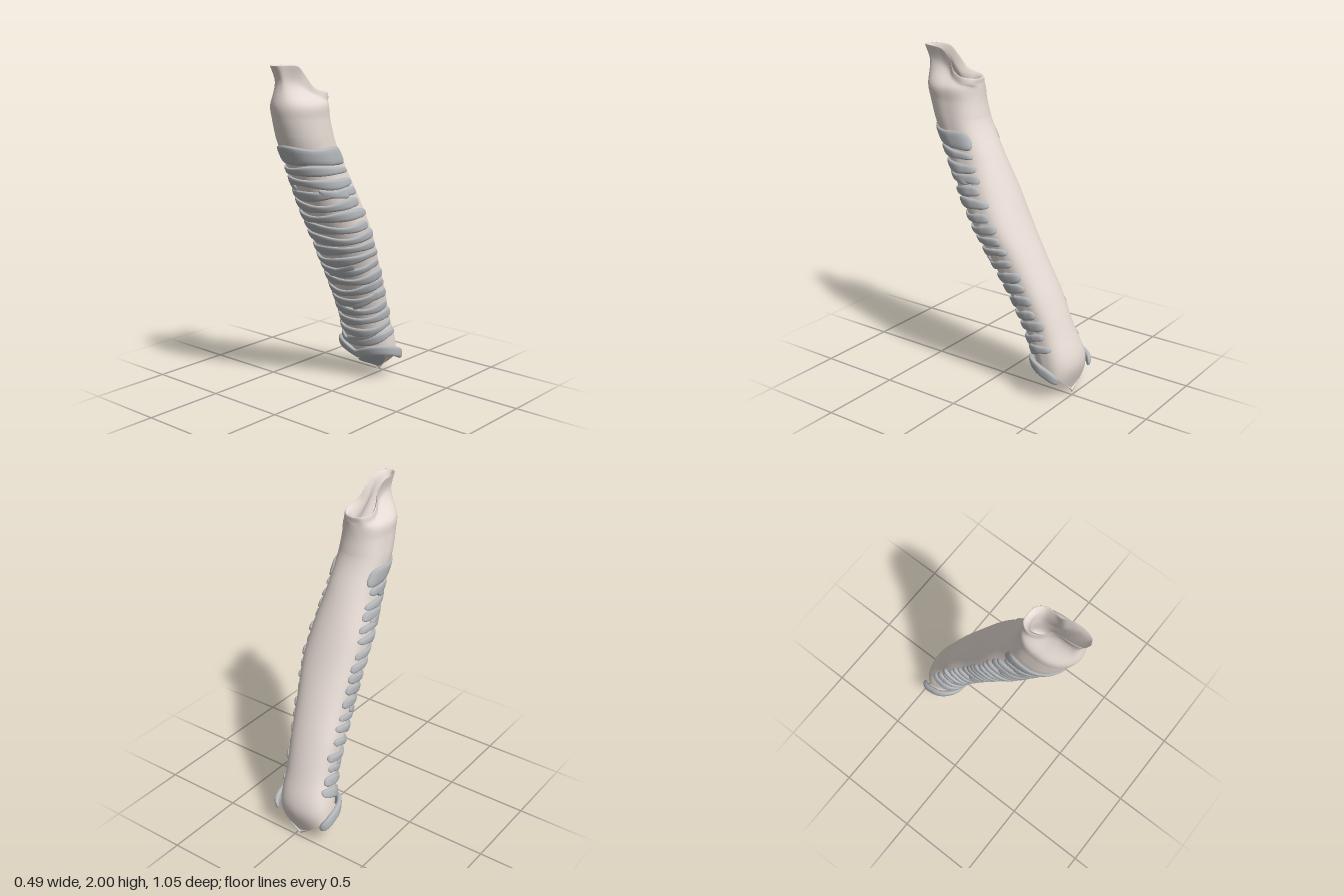
import * as THREE from 'three';
import { mergeVertices } from 'three/addons/utils/BufferGeometryUtils.js';

const { sin, cos, abs, PI, sqrt, sign } = Math;
const V = (x, y, z) => new THREE.Vector3(x, y, z);

// Tube outline at heights 0, 0.2 ... 1.8: front z, back z / right x, left x
const depth = new THREE.SplineCurve([[-.34, -.475], [-.265, -.525], [-.185, -.46], [-.09, -.38], [.03, -.285],
  [.14, -.185], [.25, -.09], [.35, .01], [.445, .11], [.502, .14]].map(p => new THREE.Vector2(...p)));
const width = new THREE.SplineCurve([[-.2, .13], [-.195, .14], [-.155, .14], [-.15, .165], [-.135, .195],
  [-.135, .228], [-.13, .218], [-.108, .19], [-.112, .18], [-.092, .165]].map(p => new THREE.Vector2(...p)));

// Front-to-back factor around the tube: angle 0 is the front, the back is a little flattened
const frontBack = a => cos(a) < 0 ? -Math.pow(-cos(a), 0.65) : cos(a);

// Point on the tube wall
function wall(a, y, off = 0) {
  const t = THREE.MathUtils.clamp(y / 1.8, 0, 1);
  const d = depth.getPoint(t), w = width.getPoint(t);
  return V((w.x + w.y) / 2 + ((w.y - w.x) / 2 + off) * sin(a), y,
    (d.x + d.y) / 2 + ((d.x - d.y) / 2 + off) * frontBack(a));
}

// V-cut lower end: ridge height and edge height around the tube
const ridgeHeight = a => 0.008 + 0.065 * (1 + frontBack(a));
const lowerEdge = a => ridgeHeight(a) + 0.125 * abs(sin(a));

// Surface from f(u, v), both 0..1
function surface(f, nu, nv) {
  const pos = [], index = [];
  for (let j = 0; j <= nv; j++) for (let i = 0; i <= nu; i++) pos.push(...f(i / nu, j / nv).toArray());
  for (let j = 0; j < nv; j++) for (let i = 0; i < nu; i++) {
    const a = j * (nu + 1) + i, b = a + nu + 1;
    index.push(a, a + 1, b + 1, a, b + 1, b);
  }
  let g = new THREE.BufferGeometry();
  g.setAttribute('position', new THREE.Float32BufferAttribute(pos, 3));
  g.setIndex(index);
  g = mergeVertices(g, 1e-5);
  g.computeVertexNormals();
  return g;
}

// Mirrored outline from half profile [half width, y, z], front to back
function outline(points) {
  const curve = new THREE.CatmullRomCurve3(points.map(p => V(...p)));
  return a => {
    const s = a > PI ? -1 : 1;
    const p = curve.getPoint((s > 0 ? a : 2 * PI - a) / PI);
    return V(0.043 + s * p.x, p.y, p.z);
  };
}

const neck = outline([[0, 1.91, .488], [.032, 1.91, .478], [.038, 1.905, .43], [.038, 1.89, .37], [.052, 1.86, .32],
  [.082, 1.83, .265], [.092, 1.815, .2], [.06, 1.805, .15], [0, 1.8, .14]]);
const rim = outline([[0, 1.995, .53], [.033, 1.998, .513], [.052, 1.998, .45], [.05, 1.988, .38], [.044, 1.945, .325],
  [.068, 1.872, .275], [.085, 1.845, .2], [.05, 1.836, .15], [0, 1.83, .14]]);
const innerRim = outline([[0, 1.955, .508], [.022, 1.965, .495], [.035, 1.965, .445], [.033, 1.935, .39],
  [.03, 1.89, .34], [.052, 1.845, .28], [.066, 1.825, .21], [.04, 1.815, .175], [0, 1.81, .165]]);
const hollow = (y, rx, rz, z) => a => V(0.04 + rx * sin(a), y, z + rz * cos(a));

export function createModel() {
  const group = new THREE.Group();
  const flesh = new THREE.MeshStandardMaterial({ color: 0xe6dbd4, side: THREE.DoubleSide });
  const grey = new THREE.MeshStandardMaterial({ color: 0xb4b7ba });
  const add = (name, geometry, material) => {
    const mesh = new THREE.Mesh(geometry, material);
    mesh.name = name;
    group.add(mesh);
  };

  // Long slanted tube, V-cut below, running up into shoulders, spout-shaped rim and hollow throat
  const levels = [a => wall(a, 1.6), a => wall(a, 1.7), a => wall(a, 1.78), neck, rim, innerRim,
    hollow(1.72, .06, .09, .26), hollow(1.58, .05, .07, .24), hollow(1.57, 0, 0, .24)];
  add('tube', surface((u, v) => {
    const a = u * 2 * PI, y0 = lowerEdge(a);
    if (v < 0.45) return wall(a, y0 + (1.6 - y0) * v / 0.45);
    return new THREE.CatmullRomCurve3(levels.map(f => f(a))).getPoint((v - 0.45) / 0.55);
  }, 64, 120), flesh);

  // Two slanted faces meeting at a ridge under the tube
  const underside = (a, v, drop) => {
    const edge = wall(a, lowerEdge(a));
    return V(-0.025, ridgeHeight(a), edge.z).lerp(edge, v).add(V(0, -drop, 0));
  };
  add('lowerEnd', surface((u, v) => underside(u * 2 * PI, v, 0), 64, 8), flesh);

  // Grey plate on the ridge, widest at the front
  add('ridgePlate', surface((u, v) => {
    const a = u * 2 * PI;
    return underside(a, v * (0.2 + 0.4 * (1 + cos(a))), 0.008 * (1 - Math.pow(v, 6)));
  }, 64, 10), grey);

  // Rounded band from angle a0 to a1, centred on height(angle), with rounded ends
  const box = s => sign(s) * Math.pow(abs(s), 0.65);
  function band(name, a0, a1, height, half, thick, flare = 0) {
    add(name, surface((u, v) => {
      const k = sin((u - 0.5) * PI), a = a0 + (a1 - a0) * (k + 1) / 2, th = v * 2 * PI;
      const taper = sqrt(Math.max(0, 1 - Math.pow(abs(k), 14)));
      const y = height(a) - half(a) * taper * box(cos(th));
      return wall(a, y, flare * abs(sin(a)) + thick * taper * box(sin(th)));
    }, 48, 14), grey);
  }

  let seed = 7;
  const rand = () => (seed = (seed * 16807) % 2147483647) / 2147483647;

  // Stack of irregular C-shaped rings, open at the back
  band('topRing', -2.15, 2.15, a => 1.495 + 0.006 * cos(2 * a), a => 0.052 + 0.006 * cos(a * 3), 0.016);
  const count = 17;
  for (let i = 0; i < count; i++) {
    const t = i / (count - 1), y = 1.405 - 1.15 * t;
    const rise = 0.005 + 0.09 * Math.min(1, t * 1.8), p = rand() * 6, q = rand() * 6;
    const wave = 0.004 + 0.006 * rand();
    band('ring' + (i + 1), -1.8 - 0.25 * rand(), 1.8 + 0.25 * rand(),
      a => y + rise * (1 - cos(a)) / 2 + wave * sin(2 * a + p),
      a => 0.026 + 0.006 * sin(3 * a + q), 0.016 + 0.004 * rand());
  }

  // Slanted bridges where neighbouring rings fuse
  [[1.33, -1.6, -.3], [1.23, -1.6, -.5], [1.25, .6, 1.6], [.77, -.3, .9], [.7, -1.5, -.2],
    [.54, .3, 1.5], [.41, -1.4, -.4], [.29, -.4, 1.1]].forEach(([y, a0, a1], i) =>
    band('bridge' + (i + 1), a0, a1, a => y + 0.04 * (1 - cos(a)) + (i % 2 ? .05 : -.05) * (a - (a0 + a1) / 2),
      () => 0.024, 0.017));

  // Flared ring around the V-cut end
  band('bottomRing', -2.2, 2.1, a => lowerEdge(a) + 0.018 - 0.025 * abs(sin(a)), a => 0.028 + 0.008 * abs(sin(a)),
    0.016, 0.03);

  return group;
}
